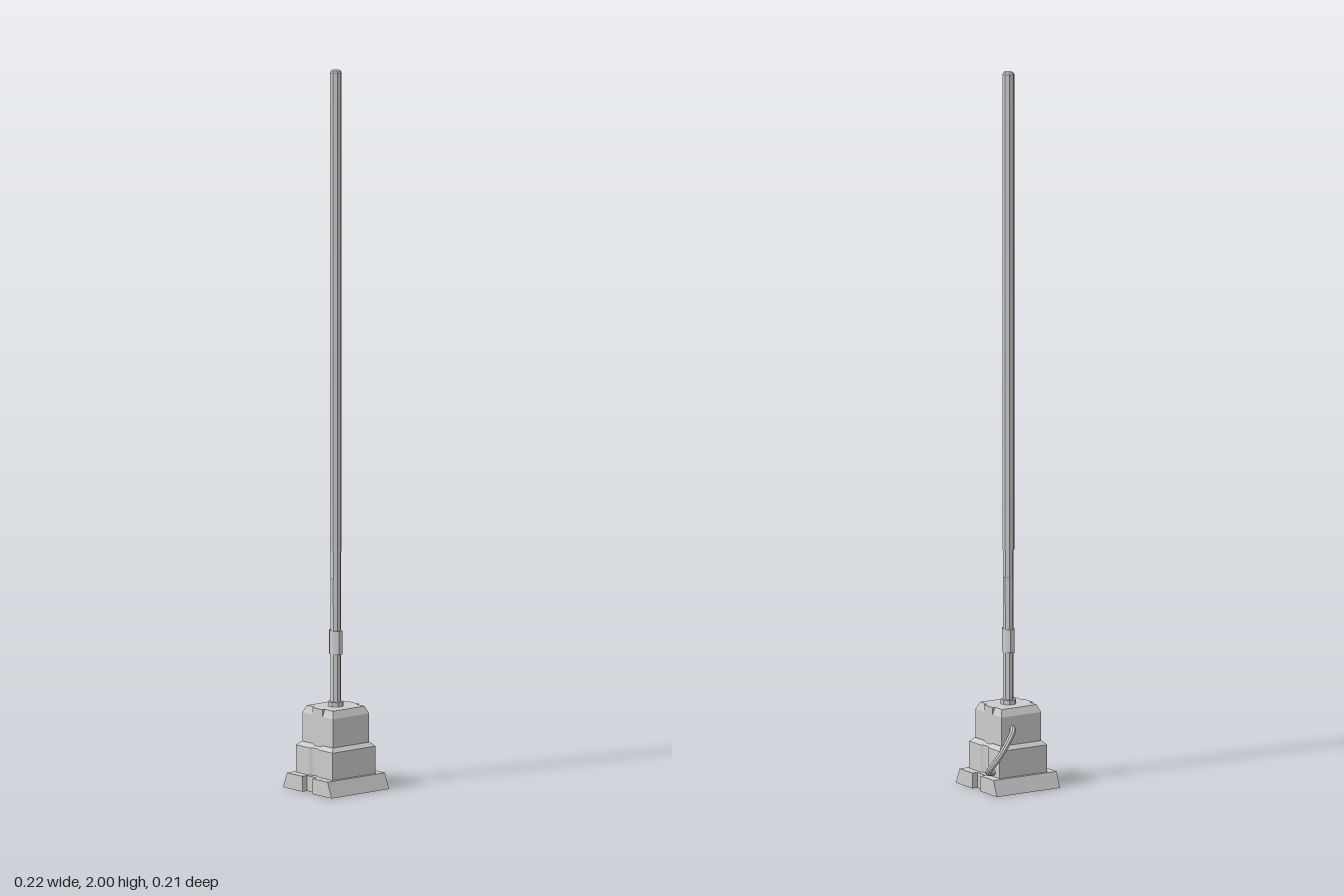
import * as THREE from 'three';

const CX = -0.007; // the mast axis sits slightly off centre because the hose bulges to the left
const material = new THREE.MeshStandardMaterial({ color: 0xcccccc, flatShading: true, side: THREE.DoubleSide });

function add(parent, name, geometry, x = 0, y = 0, z = 0) {
  const mesh = new THREE.Mesh(geometry, material);
  mesh.name = name;
  mesh.position.set(x, y, z);
  parent.add(mesh);
  return mesh;
}

// Extrude a plan outline (x, z) upwards from y = 0
function extrudeUp(points, depth, bevel = 0) {
  const shape = new THREE.Shape(points.map(([x, z]) => new THREE.Vector2(x, -z)));
  const g = new THREE.ExtrudeGeometry(shape, {
    depth, bevelEnabled: bevel > 0, bevelSize: bevel, bevelThickness: bevel, bevelOffset: -bevel, bevelSegments: 1,
  });
  return g.rotateX(-Math.PI / 2);
}

// Four-sided frustum of given bottom and top sizes, standing on y = 0
function frustum(w0, d0, w1, d1, h) {
  const g = new THREE.BoxGeometry(1, h, 1).translate(0, h / 2, 0);
  const p = g.attributes.position;
  for (let i = 0; i < p.count; i++) {
    const top = p.getY(i) > h / 2;
    p.setX(i, p.getX(i) * (top ? w1 : w0));
    p.setZ(i, p.getZ(i) * (top ? d1 : d0));
  }
  g.computeVertexNormals();
  return g;
}

function rod(parent, name, radius, y0, y1, sides = 8) {
  const g = new THREE.CylinderGeometry(radius, radius, y1 - y0, sides);
  g.rotateY(Math.PI / sides);
  return add(parent, name, g, CX, (y0 + y1) / 2, 0);
}

export function createModel() {
  const model = new THREE.Group();
  model.name = 'mast';

  // Foot plate: notched at both sides, sloping at front and back
  const w = 0.1025, n = 0.086, d = 0.103, s = 0.021;
  const footGeometry = extrudeUp([
    [-w, -d], [w, -d], [w, -s], [n, -s], [n, s], [w, s],
    [w, d], [-w, d], [-w, s], [-n, s], [-n, -s], [-w, -s],
  ].reverse(), 0.043);
  const p = footGeometry.attributes.position;
  for (let i = 0; i < p.count; i++) {
    if (p.getY(i) > 0.02 && Math.abs(p.getZ(i)) > 0.09) p.setZ(i, Math.sign(p.getZ(i)) * 0.086);
  }
  footGeometry.computeVertexNormals();
  add(model, 'footPlate', footGeometry, -0.006);

  // Lower housing with a shallow curved groove on each side
  const b = 0.077, groove = [];
  for (let i = 0; i <= 6; i++) {
    const t = i / 6 * 2 - 1;
    groove.push([b - 0.008 * (1 - t * t), -s * t]);
  }
  add(model, 'lowerHousing', extrudeUp([
    [-b, b], [b, b], ...groove, [b, -b], [-b, -b],
    ...groove.map(([x, z]) => [-x, -z]),
  ], 0.085, 0.011), -0.0065, 0.034);

  // Upper housing: chamfered shoulders, full width at the middle of each side
  const upper = new THREE.Group();
  upper.name = 'upperHousing';
  upper.position.x = CX;
  model.add(upper);
  add(upper, 'upperBody', frustum(0.129, 0.13, 0.129, 0.13, 0.085), 0, 0.125);
  add(upper, 'shoulders', frustum(0.129, 0.13, 0.113, 0.11, 0.02), 0, 0.21);
  add(upper, 'sideRibs', new THREE.BoxGeometry(0.13, 0.1, 2 * s), 0, 0.18);

  // Mast: collar, jointed lower rod, clamp and long upper rod
  rod(model, 'collar', 0.022, 0.228, 0.242);
  rod(model, 'lowerRod', 0.0145, 0.24, 0.38);
  const joints = [0.44, 0.51, 0.585, 0.66];
  for (let i = 0; i < 3; i++) {
    rod(model, 'rodSegment', 0.0145 + 0.0005 * (i % 2), joints[i], joints[i + 1]);
  }
  rod(model, 'upperRod', 0.0165, 0.66, 1.995);
  add(model, 'tip', new THREE.CylinderGeometry(0.0125, 0.0165, 0.005, 8).rotateY(Math.PI / 8), CX, 1.9975);
  const clamp = rod(model, 'clamp', 0.0235, 0.375, 0.44);
  clamp.scale.x = 0.68;

  // Hose looping from the back of the upper housing to the side of the lower one
  const path = new THREE.CatmullRomCurve3([
    [0.018, 0.175, -0.058], [0.03, 0.172, -0.08], [0.052, 0.15, -0.094],
    [0.08, 0.11, -0.093], [0.1, 0.073, -0.076], [0.092, 0.057, -0.053], [0.062, 0.055, -0.046],
  ].map((v) => new THREE.Vector3(...v)));
  add(model, 'hose', new THREE.TubeGeometry(path, 14, 0.0085, 8));

  return model;
}
